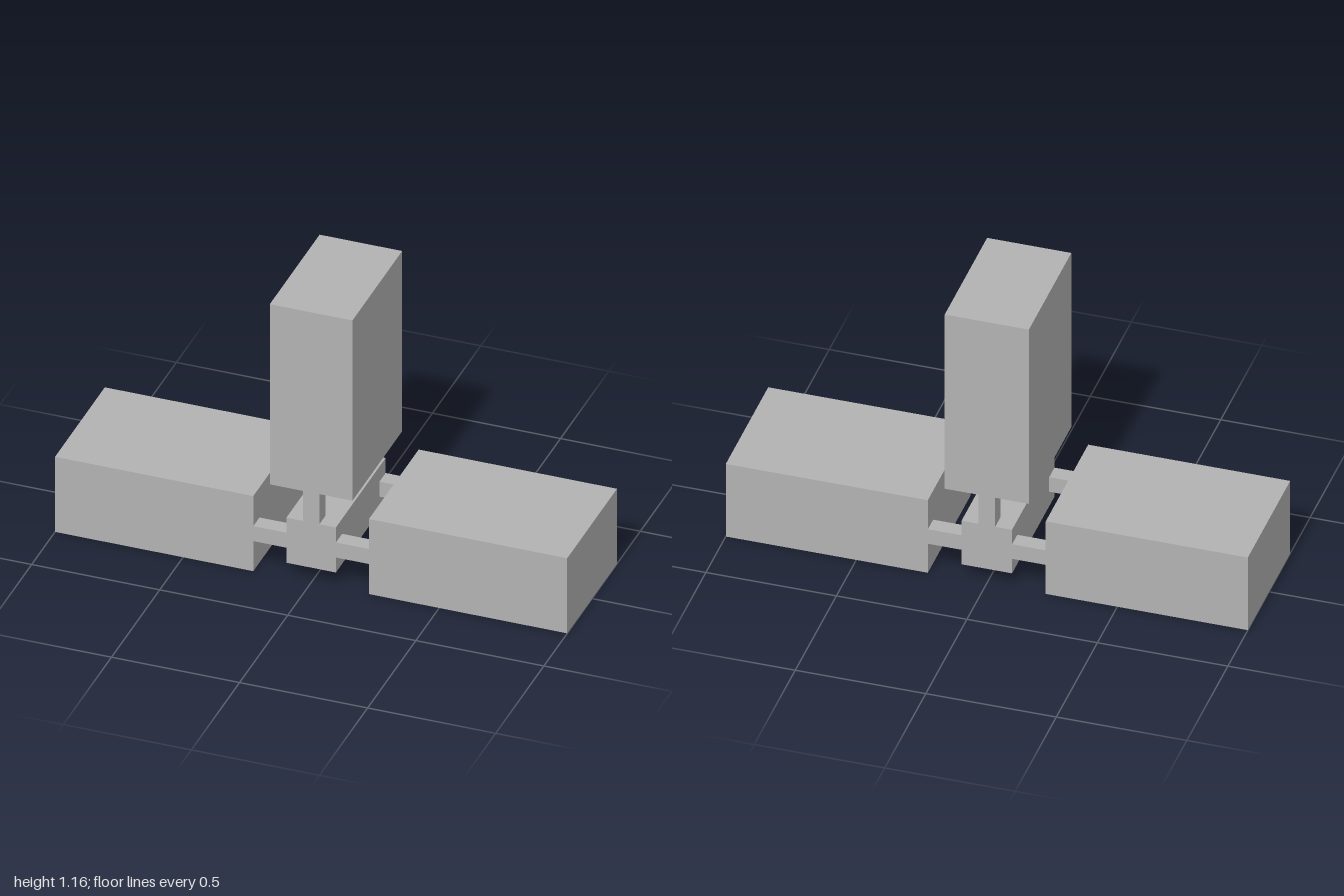
import * as THREE from 'three';

// One grid unit: the model is 31 units wide and 2 long.
const U = 2 / 31;

export function createModel() {
  const group = new THREE.Group();
  const grey = new THREE.MeshStandardMaterial({ color: 0xb2b2b2 });
  grey.name = 'grey';

  // Box given by its size and centre in grid units.
  const box = (name, w, h, d, x, y, z) => {
    const mesh = new THREE.Mesh(new THREE.BoxGeometry(w * U, h * U, d * U), grey);
    mesh.name = name;
    mesh.position.set(x * U, y * U, z * U);
    group.add(mesh);
  };

  // Central hub and upright block
  box('hub', 3, 3, 8, 0, 2.5, 0);
  box('upperBlock', 5, 12, 8, 0, 12, 0);

  // Side blocks
  for (const [side, s] of [['left', 1], ['right', -1]]) {
    box(side + 'Block', 12, 5, 8, s * 9.5, 2.5, 0);
  }

  // Short connectors at the front and back edges
  for (const [end, e] of [['Front', 1], ['Back', -1]]) {
    box('upper' + end + 'Connector', 1, 2, 1, 0, 5, e * 3.5);
    box('left' + end + 'Connector', 2, 1, 1, 2.5, 2.5, e * 3.5);
    box('right' + end + 'Connector', 2, 1, 1, -2.5, 2.5, e * 3.5);
  }

  return group;
}
